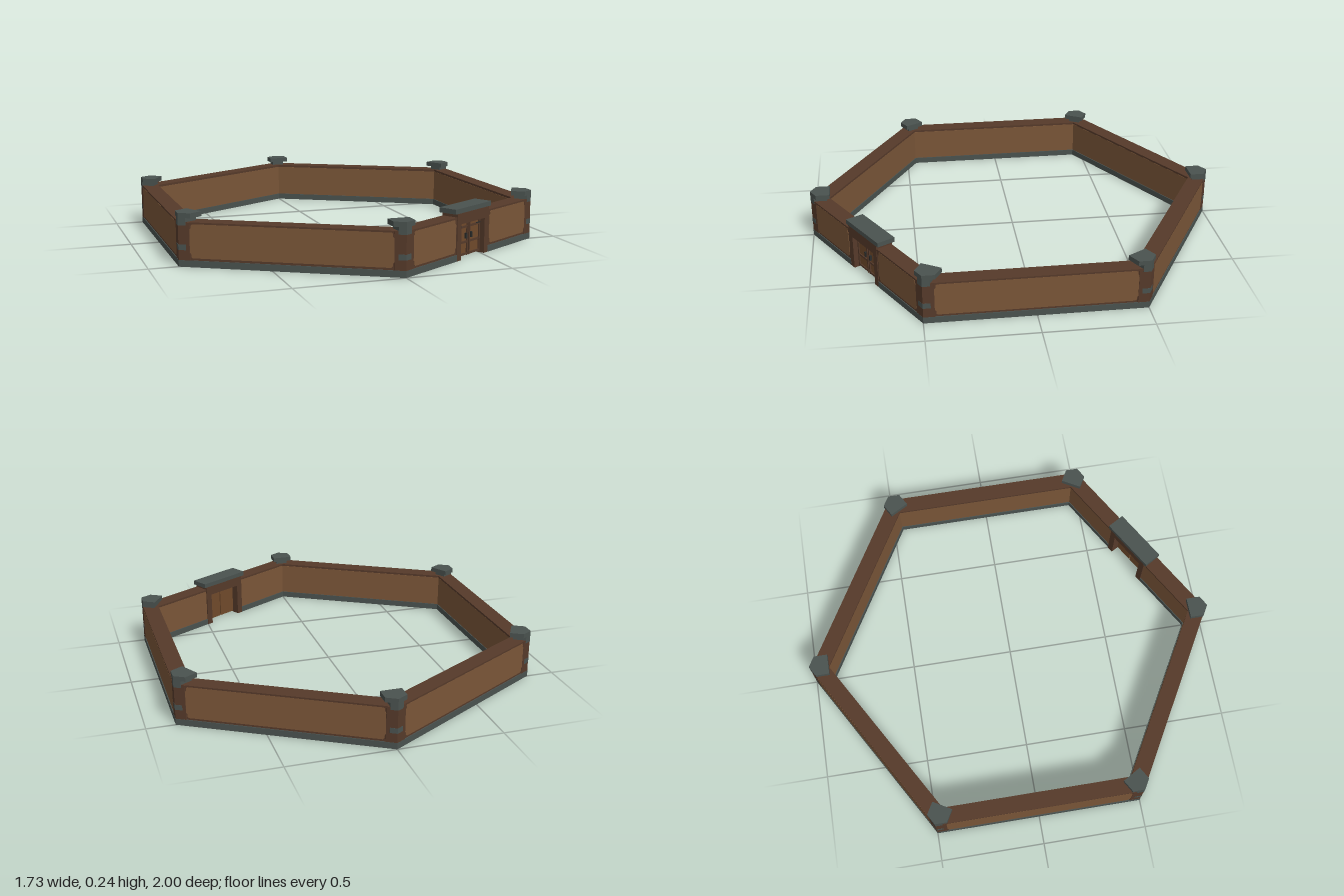
import * as THREE from 'three';

const mat = (name, color) => {
  const m = new THREE.MeshStandardMaterial({ color });
  m.name = name;
  return m;
};

export function createModel() {
  const stone = mat('grey stone', 0x4a524f);
  const timber = mat('dark timber', 0x563a2a);
  const plaster = mat('tan plaster', 0x7a5638);
  const wood = mat('door wood', 0x704a2b);
  const iron = mat('dark iron', 0x2b2d2c);
  const T = Math.tan(Math.PI / 6);

  const add = (parent, name, geo, material) => {
    const m = new THREE.Mesh(geo, material);
    m.name = name;
    parent.add(m);
    return m;
  };
  const outline = (pts) => new THREE.Shape(pts.map(([x, y]) => new THREE.Vector2(x, y)));
  // Upright prism over a footprint of [x, z] points
  const prism = (pts, y0, y1) =>
    new THREE.ExtrudeGeometry(outline(pts.map(([x, z]) => [x, -z])), { depth: y1 - y0, bevelEnabled: false })
      .rotateX(-Math.PI / 2).translate(0, y0, 0);
  const block = (x0, x1, y0, y1, z0, z1) =>
    new THREE.BoxGeometry(x1 - x0, y1 - y0, z1 - z0)
      .translate((x0 + x1) / 2, (y0 + y1) / 2, (z0 + z1) / 2);
  // Mitred wall strip; each end is either a mitre (null) or a straight cut at x
  const strip = (a, b, zi, zo) => [
    [a ?? -zi * T, zi], [a ?? -zo * T, zo], [b ?? zo * T, zo], [b ?? zi * T, zi],
  ];
  // Thin panel with stepped corners
  const panel = (x0, x1, y0, y1) => {
    const c = 0.012, d = 0.006;
    const pts = [
      [x0 + c, y0], [x1 - c, y0], [x1 - d, y0 + d], [x1 - d, y0 + c * 1.5], [x1, y0 + c * 2],
      [x1, y1 - c * 2], [x1 - d, y1 - c * 1.5], [x1 - d, y1 - d], [x1 - c, y1],
      [x0 + c, y1], [x0 + d, y1 - d], [x0 + d, y1 - c * 1.5], [x0, y1 - c * 2],
      [x0, y0 + c * 2], [x0 + d, y0 + c * 1.5], [x0 + d, y0 + d],
    ];
    return new THREE.ExtrudeGeometry(outline(pts), { depth: 0.003, bevelEnabled: false }).translate(0, 0, 0.8615);
  };

  const wall = (parent, a, b) => {
    const g = new THREE.Group();
    g.name = 'wallSection';
    add(g, 'stoneFooting', prism(strip(a, b, 0.784, 0.866), 0, 0.03), stone);
    add(g, 'wallCore', prism(strip(a, b, 0.79, 0.862), 0.03, 0.19), timber);
    add(g, 'topRail', prism(strip(a, b, 0.786, 0.864), 0.19, 0.2), timber);
    add(g, 'outerPanel', panel(a === null ? -0.448 : a + 0.01, b === null ? 0.448 : b - 0.01, 0.04, 0.192), plaster);
    add(g, 'innerPanel', prism(strip(a, b, 0.788, 0.791), 0.03, 0.188), plaster);
    parent.add(g);
  };

  const gate = (parent) => {
    const g = new THREE.Group();
    g.name = 'gate';
    for (const s of [-1, 1]) {
      const side = (name, x0, x1, y0, y1, z0, z1, m) =>
        add(g, name, block(Math.min(s * x0, s * x1), Math.max(s * x0, s * x1), y0, y1, z0, z1), m);
      side('jamb', 0.094, 0.126, 0, 0.216, 0.782, 0.8655, timber);
      side('doorLeaf', 0.003, 0.094, 0.006, 0.165, 0.822, 0.836, wood);
      // Rails, stiles and handle on the outer face
      for (const y of [0.008, 0.064, 0.135])
        side('doorRail', 0.006, 0.092, y, y + 0.01, 0.836, 0.841, timber);
      for (const x of [0.004, 0.085])
        side('doorStile', x, x + 0.008, 0.006, 0.16, 0.836, 0.842, timber);
      side('hinge', 0.06, 0.092, 0.142, 0.147, 0.841, 0.844, iron);
      side('handle', 0.016, 0.026, 0.085, 0.11, 0.836, 0.846, iron);
    }
    add(g, 'lintel', block(-0.126, 0.126, 0.165, 0.216, 0.782, 0.8655), timber);
    add(g, 'gateCap', block(-0.142, 0.142, 0.216, 0.238, 0.777, 0.867), stone);
    parent.add(g);
  };

  // Corner footprint: outer tip follows the walls, inner side is square
  const corner = (half, tip, back) => [
    [0, tip], [half, tip - half * T], [half, back], [-half, back], [-half, tip - half * T],
  ];
  const post = (parent) => {
    add(parent, 'cornerPost', prism(corner(0.044, 0.999, 0.92), 0.03, 0.198), timber);
    add(parent, 'postStrap', prism(corner(0.03, 1.0, 0.93), 0.075, 0.1), stone);
    add(parent, 'postNeck', prism(corner(0.03, 1.0, 0.92), 0.185, 0.22), stone);
    add(parent, 'postCap', prism(corner(0.05, 1.0, 0.905), 0.218, 0.24), stone);
  };

  // Six walls and six corners; the gate is in the front left wall
  const model = new THREE.Group();
  model.name = 'hexagonalWall';
  for (let i = 0; i < 6; i++) {
    const side = new THREE.Group();
    side.name = i === 0 ? 'gateSide' : 'wallSide';
    side.rotation.y = Math.PI / 6 + (i * Math.PI) / 3;
    if (i === 0) {
      wall(side, null, -0.125);
      wall(side, 0.125, null);
      gate(side);
    } else wall(side, null, null);
    const c = new THREE.Group();
    c.name = 'corner';
    c.rotation.y = (i * Math.PI) / 3;
    post(c);
    model.add(side, c);
  }
  return model;
}
